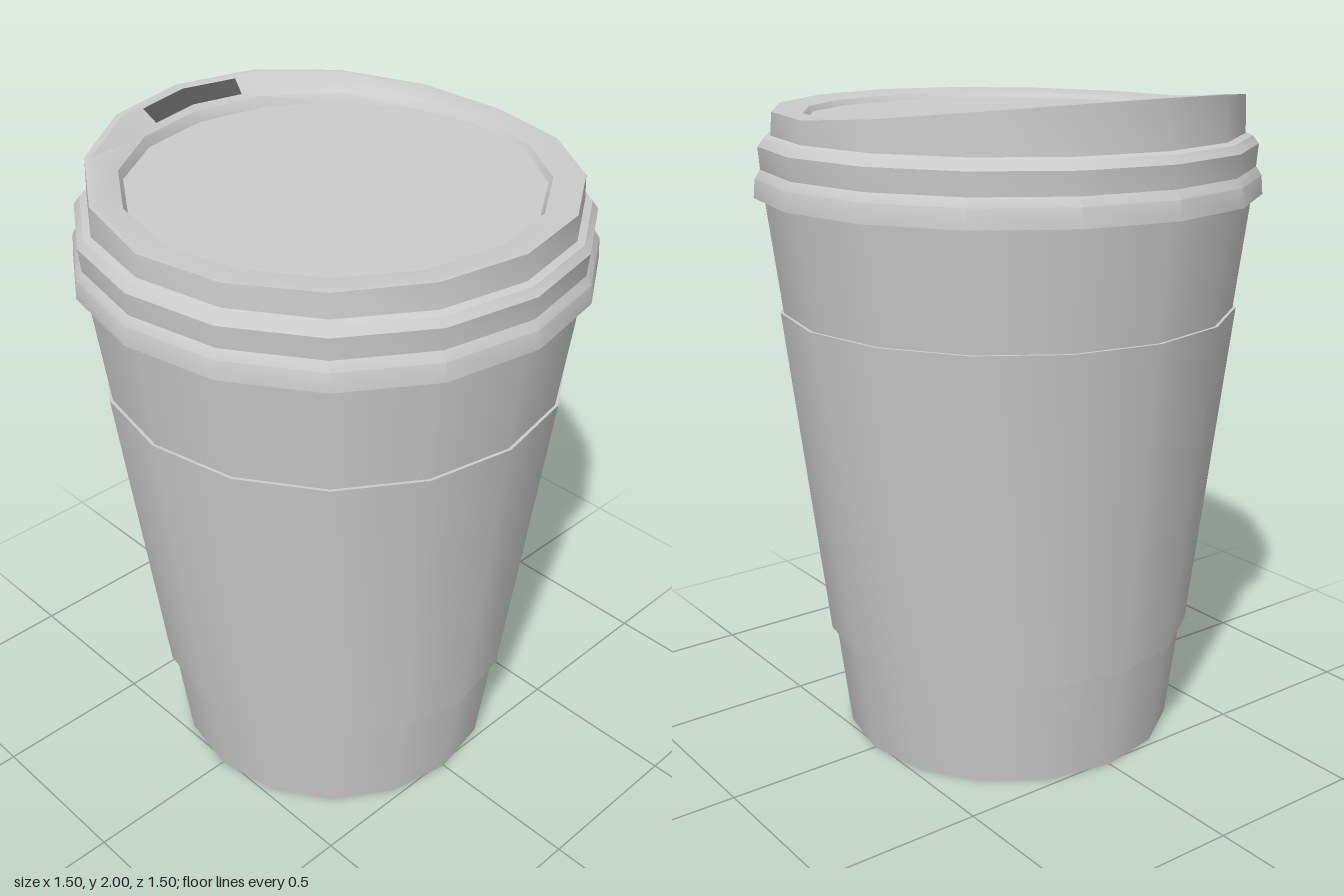
import * as THREE from 'three';
import { toCreasedNormals } from 'three/addons/utils/BufferGeometryUtils.js';

const SIDES = 16;
const STEP = (Math.PI * 2) / SIDES;

// Rim height added towards the back; c is +1 at the front, -1 at the back
const rise = (c) => (c < 0 ? 0.07 * Math.pow(-c, 1.3) : 0.01 * c * c);

// How strongly a lid ring of radius r follows that rise
const follow = (r) => THREE.MathUtils.clamp(0.25 + (0.75 * (r - 0.6)) / 0.07, 0, 1);

function lathe(profile) {
  return new THREE.LatheGeometry(profile.map(([r, y]) => new THREE.Vector2(r, y)), SIDES);
}

export function createModel() {
  const group = new THREE.Group();
  const grey = new THREE.MeshStandardMaterial({ color: 0xcccccc, side: THREE.DoubleSide });
  const dark = new THREE.MeshStandardMaterial({ color: 0x555555, side: THREE.DoubleSide });

  const add = (name, geometry, material = grey) => {
    const mesh = new THREE.Mesh(toCreasedNormals(geometry, 0.55), material);
    mesh.name = name;
    group.add(mesh);
  };

  // Tapered cup with a recessed base
  add('cup', lathe([[0, 0.05], [0.495, 0.05], [0.5, 0], [0.515, 0], [0.721, 1.7], [0.728, 1.76]]));

  // Sleeve wrapped round the middle
  add('sleeve', lathe([[0.55, 0.33], [0.57, 0.33], [0.688, 1.35], [0.67, 1.35]]));

  // Stepped lid; its upper rings are lifted towards the back
  const lid = lathe([
    [0.715, 1.69], [0.75, 1.69], [0.745, 1.745], [0.728, 1.77], [0.733, 1.835],
    [0.715, 1.858], [0.694, 1.865], [0.69, 1.93], [0.67, 1.93],
    [0.6, 1.925], [0.588, 1.91], [0, 1.91],
  ]);
  const p = lid.attributes.position;
  for (let i = 0; i < p.count; i++) {
    const r = Math.hypot(p.getX(i), p.getZ(i));
    if (p.getY(i) > 1.9 && r > 0.595) {
      p.setY(i, p.getY(i) + follow(r) * rise(p.getZ(i) / r));
    }
  }
  add('lid', lid);

  // Drinking slot lying on the two back facets of the rim
  const slotPoint = (r, side) => {
    const base = 1.925 + (0.005 * (r - 0.6)) / 0.07 + 0.003;
    const at = (a) => new THREE.Vector3(
      r * Math.sin(a), base + follow(r) * rise(-Math.cos(a)), -r * Math.cos(a));
    return at(0).lerp(at(side * STEP), 0.7);
  };
  const centre = (r) => slotPoint(r, 0);
  const corners = [
    slotPoint(0.615, -1), centre(0.615), slotPoint(0.615, 1),
    slotPoint(0.66, -1), centre(0.66), slotPoint(0.66, 1),
  ];
  const slot = new THREE.BufferGeometry().setFromPoints(corners);
  slot.setIndex([0, 1, 4, 0, 4, 3, 1, 2, 5, 1, 5, 4]);
  add('drinkingSlot', slot, dark);

  return group;
}
